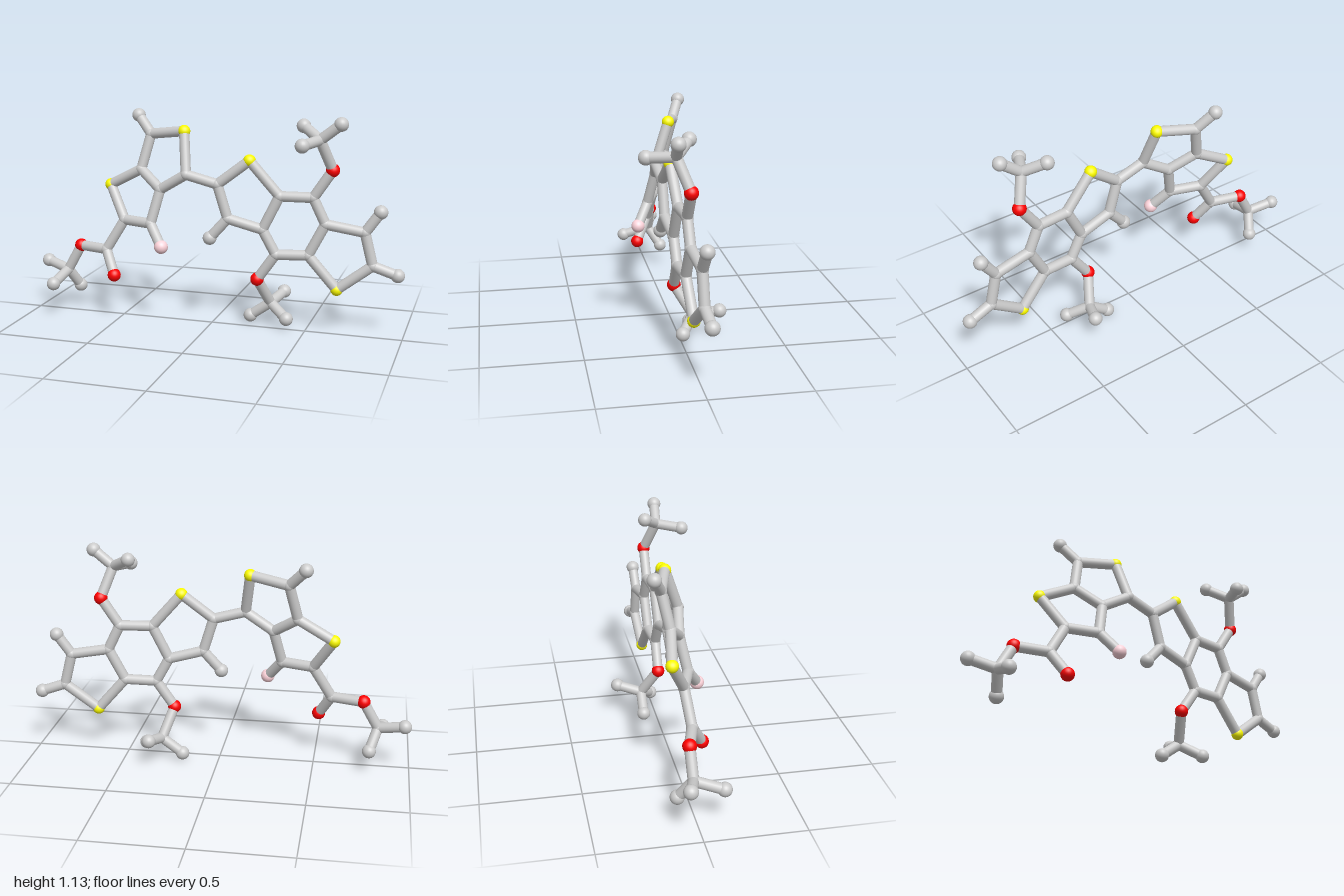
import * as THREE from 'three';

const BOND_RADIUS = 0.027;
const colors = { carbon: 0xcccccc, hydrogen: 0xcccccc, sulfur: 0xffff00, oxygen: 0xff0000, fluorine: 0xffd5dc };
const radii = { carbon: 0.03, hydrogen: 0.036, sulfur: 0.032, oxygen: 0.035, fluorine: 0.036 };

// Height of the flat three-ring sheet (right) and the tilted two-ring sheet (left)
const flat = (x, y) => [x, y, 0.045 - 0.075 * x];
const tilted = (x, y) => [x, y, 0.328 * x - 0.287 * y + 0.321];

// Atoms of each element, keyed by a short label
const atoms = {
  carbon: {
    // tilted two-ring part
    a1: tilted(-0.36, 0.985), a2: tilted(-0.126, 0.8), a3: tilted(-0.275, 0.71),
    a4: tilted(-0.404, 0.8), a5: tilted(-0.484, 0.532), a6: tilted(-0.318, 0.532),
    // ester branch
    e1: [-0.583, 0.366, 0.03], e2: [-0.83, 0.225, -0.015],
    // flat three-ring part
    b1: flat(0.04, 0.757), b2: flat(0.361, 0.709), b3: flat(0.275, 0.532), b4: flat(0.094, 0.58),
    b5: flat(0.532, 0.709), b6: flat(0.596, 0.575), b7: flat(0.511, 0.409), b8: flat(0.345, 0.404),
    b9: flat(0.794, 0.543), b10: flat(0.837, 0.372),
    // methoxy branches
    m1: [0.572, 1.01, 0.065], m2: [0.3, 0.117, -0.072],
  },
  sulfur: {
    s1: [-0.158, 1.014, -0.023], s2: [-0.59, 0.703, -0.07],
    s3: flat(0.206, 0.885), s4: flat(0.66, 0.238),
  },
  oxygen: {
    o1: [-0.516, 0.245, 0.094], o2: [-0.751, 0.366, -0.018],
    o3: [0.628, 0.853, 0.005], o4: [0.248, 0.265, 0.017],
  },
  fluorine: { f1: [-0.238, 0.427, 0.128] },
  hydrogen: {
    h1: [-0.445, 1.076, -0.126], h2: flat(0, 0.473), h3: flat(0.869, 0.65), h4: flat(0.963, 0.329),
    h5: [-0.966, 0.256, -0.056], h6: [-0.855, 0.178, 0.13], h7: [-0.79, 0.12, -0.083],
    h8: [0.676, 1.092, 0.074], h9: [0.473, 1.067, -0.013], h10: [0.51, 0.997, 0.196],
    h11: [0.19, 0.038, -0.075], h12: [0.345, 0.148, -0.198], h13: [0.4, 0.057, -0.002],
  },
};

// Each chain of labels is a run of bonds
const chains = {
  tiltedRings: ['a1 s1 a2 a3 a4 a1', 'a4 s2 a5 a6 a3', 'a1 h1', 'a6 f1'],
  esterBranch: ['a5 e1 o1', 'e1 o2 e2 h5', 'e2 h6', 'e2 h7'],
  linkBond: ['a2 b1'],
  flatRings: ['b1 s3 b2 b3 b4 b1', 'b2 b5 b6 b7 b8 b3', 'b6 b9 b10 s4 b7', 'b4 h2', 'b9 h3', 'b10 h4'],
  upperMethoxy: ['b5 o3 m1 h8', 'm1 h9', 'm1 h10'],
  lowerMethoxy: ['b8 o4 m2 h11', 'm2 h12', 'm2 h13'],
};

export function createModel() {
  const model = new THREE.Group();
  const points = {};

  // Balls
  for (const [element, list] of Object.entries(atoms)) {
    const group = new THREE.Group();
    group.name = element + 'Atoms';
    const geometry = new THREE.SphereGeometry(radii[element], 24, 16);
    const material = new THREE.MeshStandardMaterial({ color: colors[element] });
    for (const [label, position] of Object.entries(list)) {
      points[label] = new THREE.Vector3(...position);
      const ball = new THREE.Mesh(geometry, material);
      ball.name = element + 'Atom';
      ball.position.copy(points[label]);
      group.add(ball);
    }
    model.add(group);
  }

  // Sticks
  const stickGeometry = new THREE.CylinderGeometry(BOND_RADIUS, BOND_RADIUS, 1, 20);
  const stickMaterial = new THREE.MeshStandardMaterial({ color: 0xcccccc });
  const up = new THREE.Vector3(0, 1, 0);
  for (const [name, runs] of Object.entries(chains)) {
    const group = new THREE.Group();
    group.name = name;
    for (const run of runs) {
      const labels = run.split(' ');
      for (let i = 1; i < labels.length; i++) {
        const a = points[labels[i - 1]], b = points[labels[i]];
        const along = b.clone().sub(a);
        const stick = new THREE.Mesh(stickGeometry, stickMaterial);
        stick.name = 'bond';
        stick.scale.y = along.length();
        stick.position.copy(a).add(b).multiplyScalar(0.5);
        stick.quaternion.setFromUnitVectors(up, along.normalize());
        group.add(stick);
      }
    }
    model.add(group);
  }
  return model;
}
